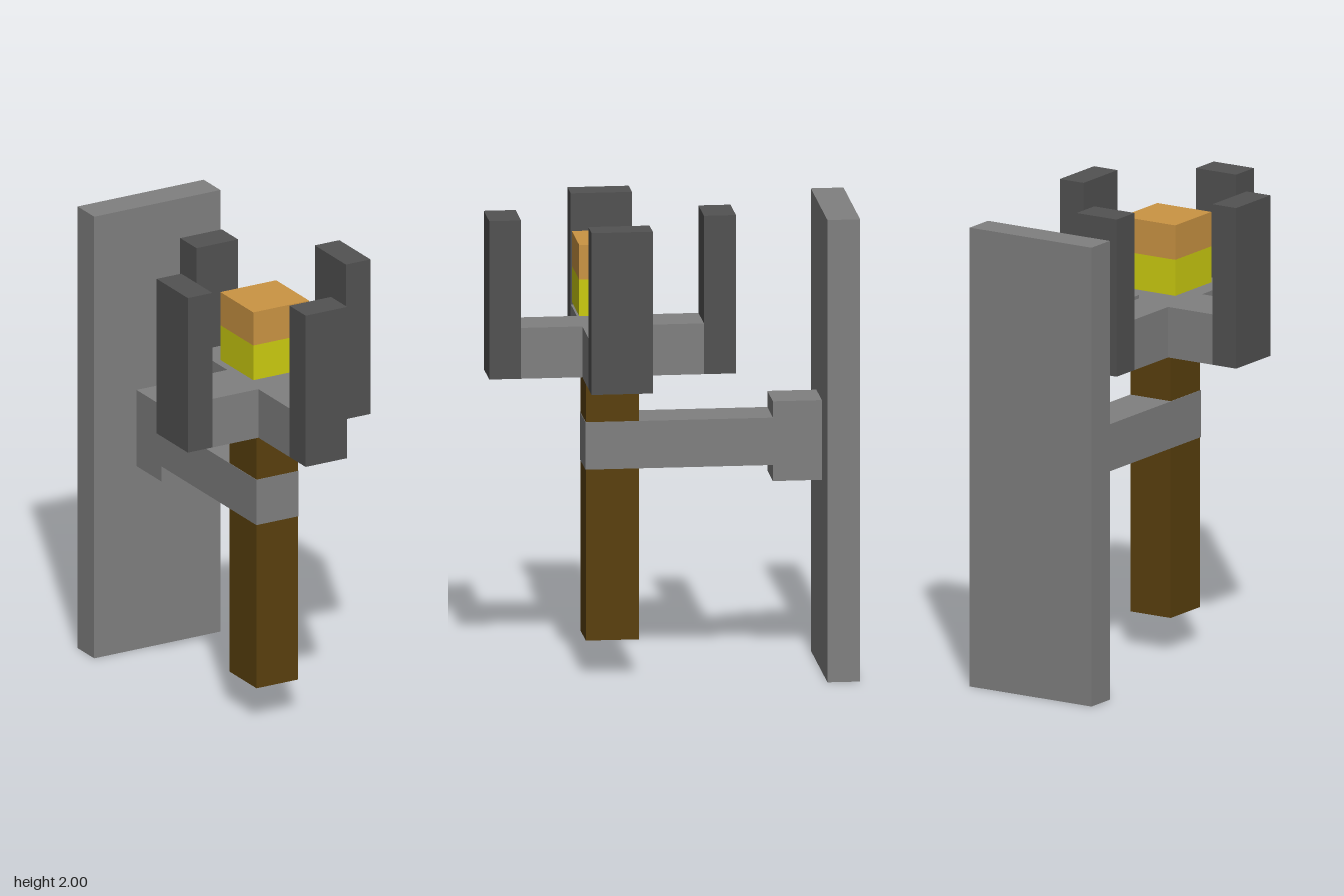
import * as THREE from 'three';

const mat = (name, color) => {
  const m = new THREE.MeshStandardMaterial({ color });
  m.name = name;
  return m;
};

export function createModel() {
  const grey = mat('grey metal', 0x808080);
  const dark = mat('dark metal', 0x525252);
  const wood = mat('brown wood', 0x5a400e);
  const orange = mat('orange flame', 0xcb9443);
  const yellow = mat('yellow flame', 0xcccc10);

  const model = new THREE.Group();
  model.name = 'wallTorch';

  // Box given by its extents along each axis
  const box = (name, material, [x0, x1], [y0, y1], [z0, z1]) => {
    const mesh = new THREE.Mesh(new THREE.BoxGeometry(x1 - x0, y1 - y0, z1 - z0), material);
    mesh.position.set((x0 + x1) / 2, (y0 + y1) / 2, (z0 + z1) / 2);
    mesh.name = name;
    model.add(mesh);
  };

  const narrow = [-0.103, 0.1];

  // Wall plate, mount and arm
  box('wallPlate', grey, [-0.31, 0.307], [0, 2], [-0.777, -0.638]);
  box('armMount', grey, narrow, [0.83, 1.175], [-0.638, -0.43]);
  box('arm', grey, [-0.105, 0.102], [0.9, 1.105], [-0.43, 0.367]);

  // Torch handle
  box('handle', wood, narrow, [0.16, 1.31], [0.14, 0.365]);

  // Cross-shaped basket: one long bar and two side bars
  const barY = [1.3, 1.52];
  box('basketLongBar', grey, narrow, barY, [-0.137, 0.64]);
  box('basketRightBar', grey, [-0.328, -0.103], barY, [0.12, 0.38]);
  box('basketLeftBar', grey, [0.1, 0.325], barY, [0.12, 0.38]);
  box('basketPin', grey, [0.08, 0.104], [1.24, 1.535], [0.137, 0.175]);

  // Four upright prongs
  box('frontProng', dark, narrow, [1.3, 1.985], [0.64, 0.775]);
  box('backProng', dark, narrow, [1.3, 1.985], [-0.273, -0.137]);
  box('rightProng', dark, [-0.448, -0.328], [1.3, 2], [0.12, 0.38]);
  box('leftProng', dark, [0.325, 0.445], [1.3, 2], [0.12, 0.38]);

  // Two-tone flame block
  box('flameBase', yellow, [-0.138, 0.135], [1.573, 1.73], [0.122, 0.397]);
  box('flameTop', orange, [-0.138, 0.135], [1.73, 1.88], [0.122, 0.397]);

  return model;
}
